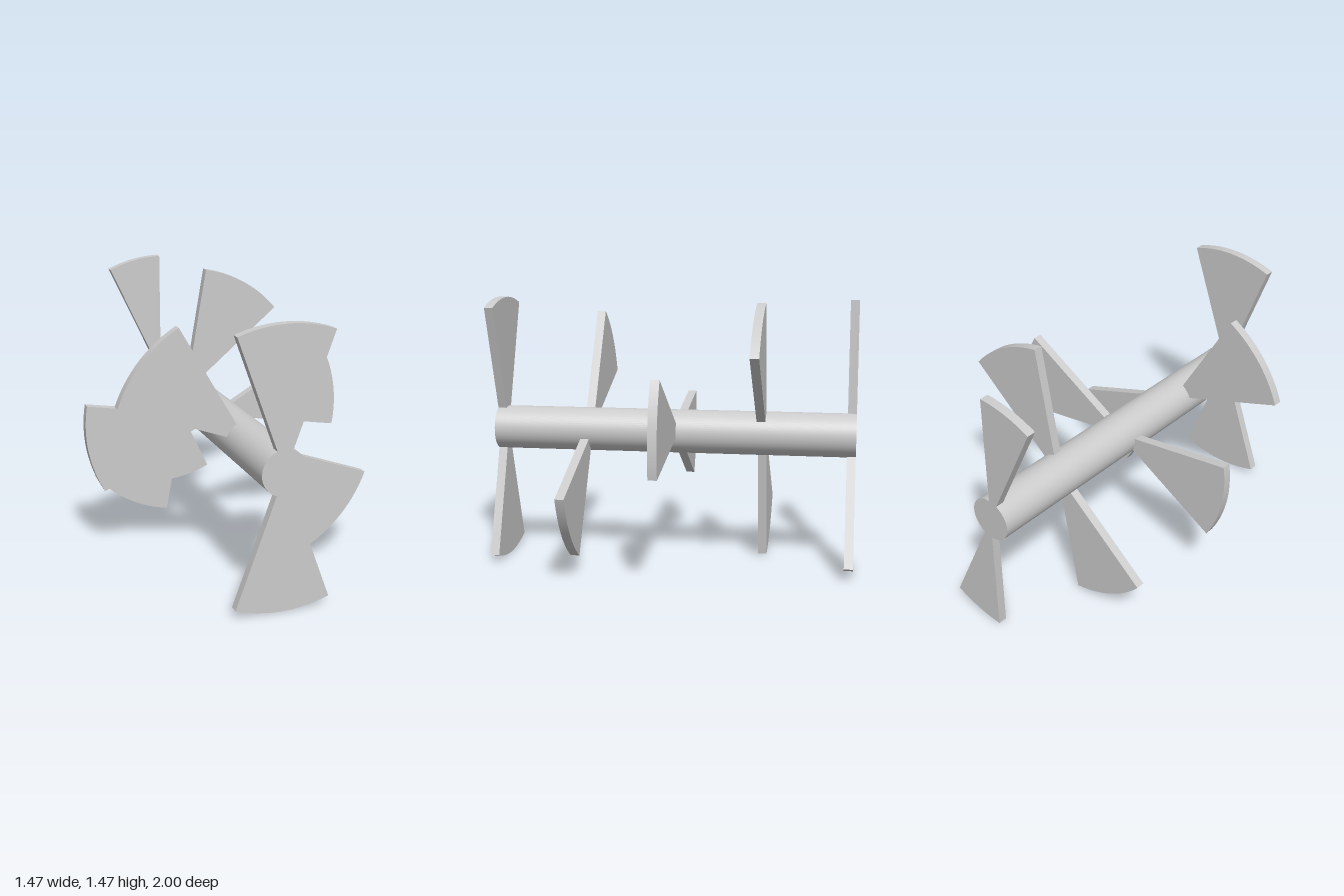
import * as THREE from 'three';

const RADIUS = 0.7325, SHAFT = 0.12, THICK = 0.048;

export function createModel() {
  const group = new THREE.Group();
  const material = new THREE.MeshStandardMaterial({ color: 0xcccccc });

  // Long round shaft along z
  const shaft = new THREE.Mesh(new THREE.CylinderGeometry(SHAFT, SHAFT, 2, 72), material);
  shaft.name = 'shaft';
  shaft.rotation.x = Math.PI / 2;
  shaft.position.y = RADIUS;
  group.add(shaft);

  // Ring-sector blade between two angles in degrees
  function blade(from, to, z) {
    const a = THREE.MathUtils.degToRad(from), b = THREE.MathUtils.degToRad(to);
    const inner = SHAFT - 0.002;
    const shape = new THREE.Shape();
    shape.moveTo(inner * Math.cos(a), inner * Math.sin(a));
    shape.absarc(0, 0, RADIUS, a, b, false);
    shape.absarc(0, 0, inner, b, a, true);
    const geometry = new THREE.ExtrudeGeometry(shape, { depth: THICK, bevelEnabled: false, curveSegments: 20 });
    const mesh = new THREE.Mesh(geometry, material);
    mesh.position.set(0, RADIUS, z - THICK / 2);
    return mesh;
  }

  // Opposed pairs, turned 50 degrees per station from front to back; the last pair is narrower
  const sectors = [[70, 110], [120, 160], [170, 210], [220, 260], [270, 295]];
  sectors.forEach(([from, to], i) => {
    const pair = new THREE.Group();
    pair.name = `bladePair${i + 1}`;
    const z = (1 - THICK / 2) * (1 - i / 2);
    for (const turn of [0, 180]) {
      const mesh = blade(from + turn, to + turn, z);
      mesh.name = turn ? 'oppositeBlade' : 'blade';
      pair.add(mesh);
    }
    group.add(pair);
  });

  return group;
}
